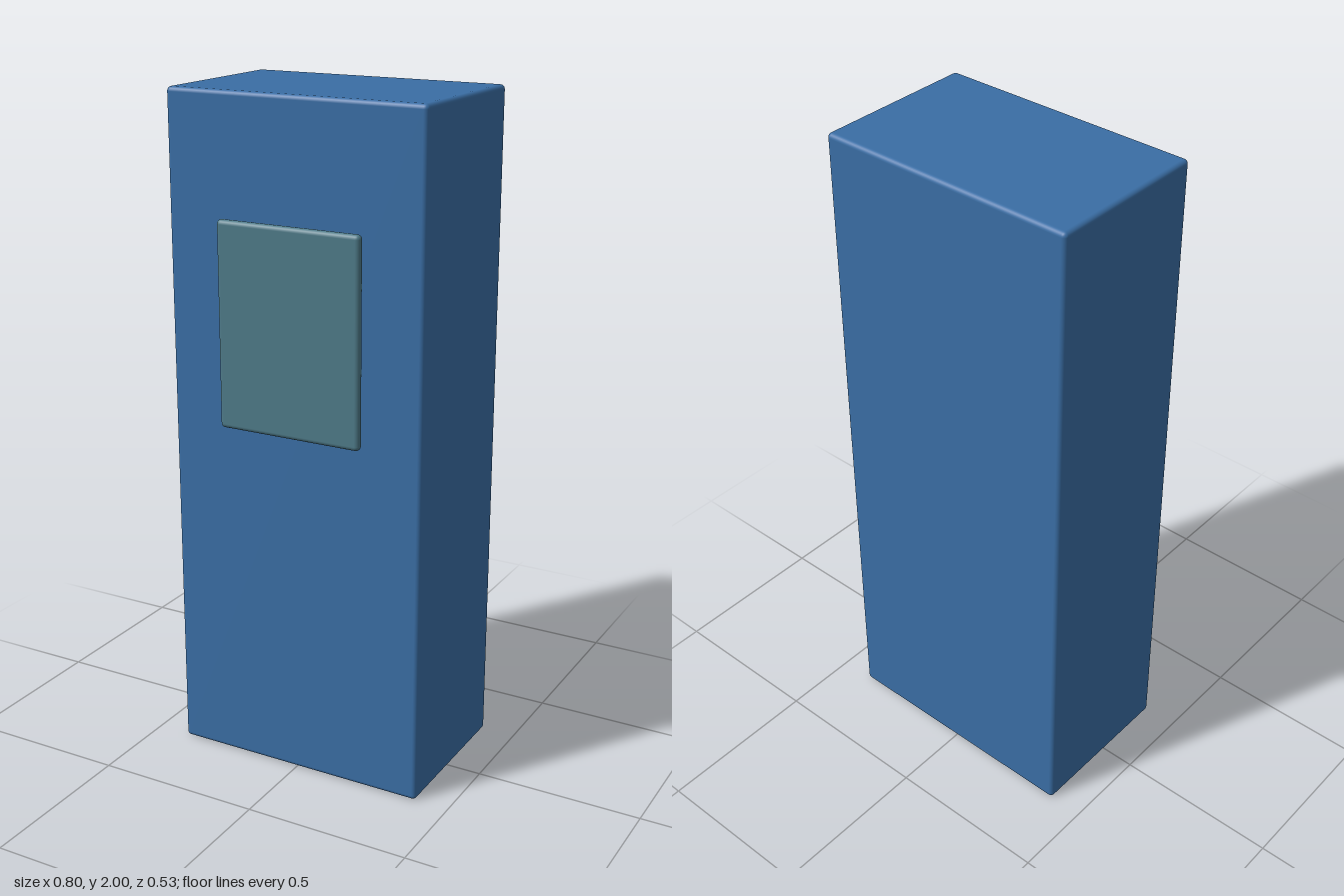
import * as THREE from 'three';
import { RoundedBoxGeometry } from 'three/addons/geometries/RoundedBoxGeometry.js';

// Softly rounded box spanning the given size around a centre
function roundedPart(name, size, centre, radius, color) {
  const mesh = new THREE.Mesh(
    new RoundedBoxGeometry(...size, 3, radius),
    new THREE.MeshStandardMaterial({ color })
  );
  mesh.name = name;
  mesh.position.set(...centre);
  return mesh;
}

export function createModel() {
  const model = new THREE.Group();
  model.name = 'cabinet';

  // Tall cabinet body
  model.add(roundedPart('body', [0.796, 2, 0.496], [0, 1, -0.018], 0.0133, 0x3a6ea5));

  // Thin panel floating just in front of the upper half
  model.add(roundedPart('frontPanel', [0.446, 0.6, 0.0268], [0, 1.355, 0.2515], 0.0132, 0x4e7a88));

  return model;
}
